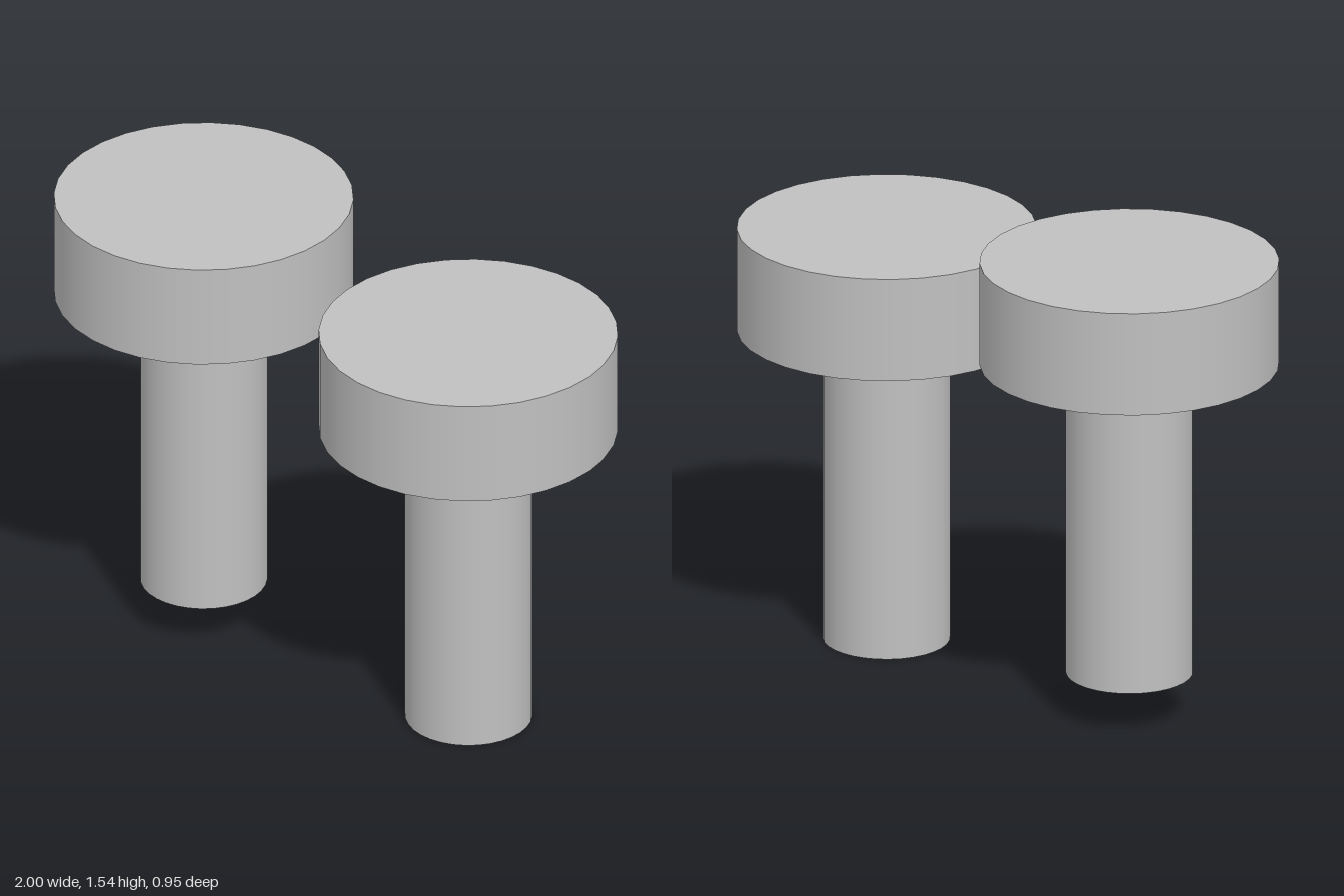
import * as THREE from 'three';

const HEAD_RADIUS = 0.477;
const HEAD_HEIGHT = 0.345;
const SHAFT_RADIUS = 0.203;
const SHAFT_HEIGHT = 1.048;
const SIDES = 32;

export function createModel() {
  const model = new THREE.Group();
  model.name = 'boltPair';

  const steel = new THREE.MeshStandardMaterial({ color: 0xc0c0c0 });
  steel.name = 'plain grey';

  const headGeometry = new THREE.CylinderGeometry(HEAD_RADIUS, HEAD_RADIUS, HEAD_HEIGHT, SIDES);
  const shaftGeometry = new THREE.CylinderGeometry(SHAFT_RADIUS, SHAFT_RADIUS, SHAFT_HEIGHT, SIDES);

  // One bolt: a slim shaft carrying a wide flat head
  function addBolt(name, x, y) {
    const bolt = new THREE.Group();
    bolt.name = name;
    bolt.position.set(x, y, 0);

    const shaft = new THREE.Mesh(shaftGeometry, steel);
    shaft.name = 'shaft';
    shaft.position.y = SHAFT_HEIGHT / 2;

    const head = new THREE.Mesh(headGeometry, steel);
    head.name = 'head';
    head.position.y = SHAFT_HEIGHT + HEAD_HEIGHT / 2;

    bolt.add(shaft, head);
    model.add(bolt);
  }

  // The right bolt sits a little higher than the left one
  addBolt('leftBolt', 0.523, 0);
  addBolt('rightBolt', -0.523, 0.148);

  return model;
}
